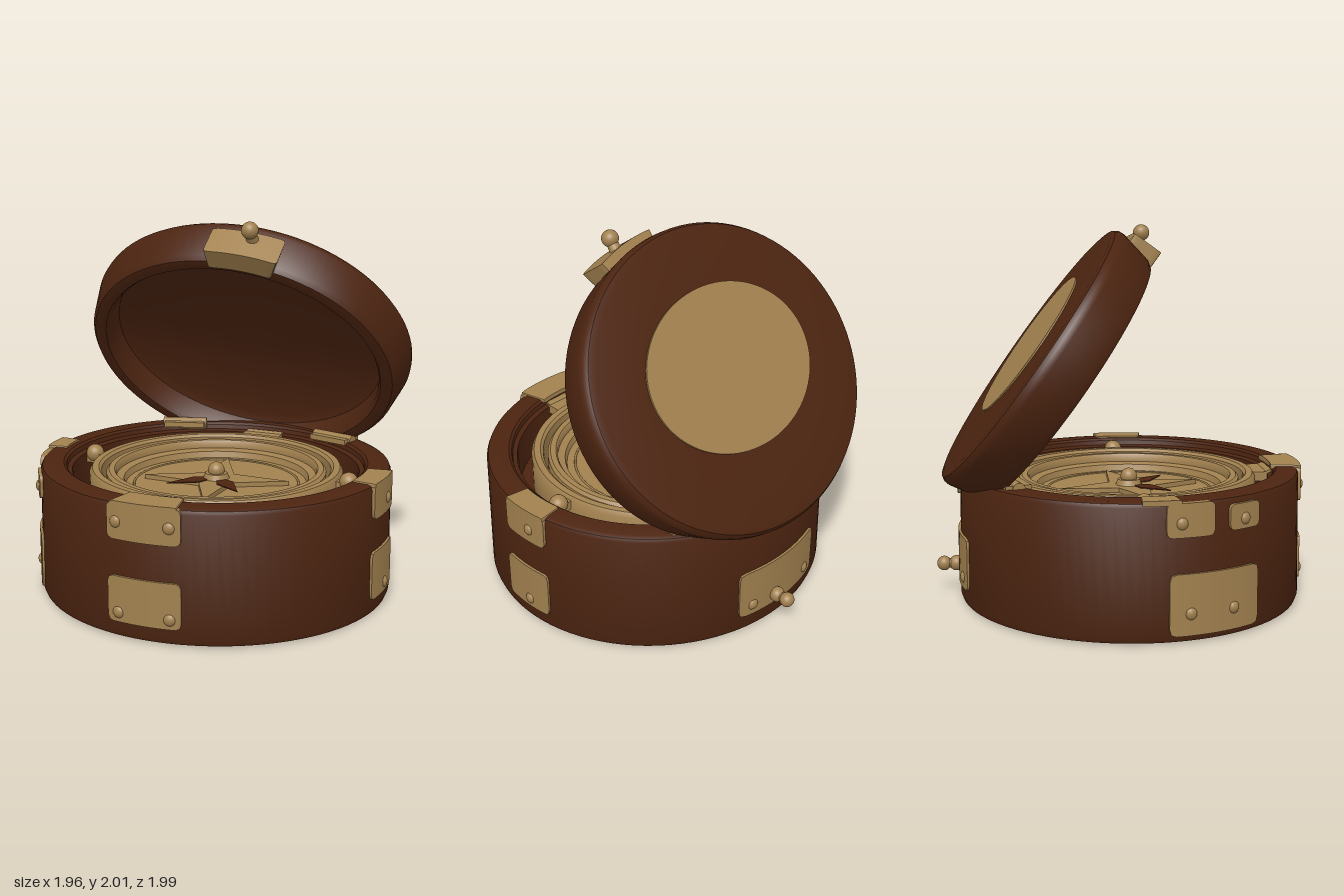
import * as THREE from 'three';
import { toCreasedNormals } from 'three/addons/utils/BufferGeometryUtils.js';

const wood = new THREE.MeshStandardMaterial({ color: 0x4c2410 });
wood.name = 'brown wood';
const brass = new THREE.MeshStandardMaterial({ color: 0xa2814f });
brass.name = 'brass';

const rad = THREE.MathUtils.degToRad;

function add(parent, name, geometry, material, x = 0, y = 0, z = 0) {
  const mesh = new THREE.Mesh(geometry, material);
  mesh.name = name;
  mesh.position.set(x, y, z);
  parent.add(mesh);
  return mesh;
}

// Turned shape; the profile runs so that its right-hand side faces out
function turned(points, segments = 96) {
  const profile = points.map(([x, y]) => new THREE.Vector2(x, y));
  return toCreasedNormals(new THREE.LatheGeometry(profile, segments), 0.6);
}

// Round-cornered plate bent around the y axis; angle 0 is the front
function bentPlate(r0, r1, y0, y1, angle, width, corner = 0.03) {
  const h = y1 - y0;
  const g = new THREE.BoxGeometry(width, h, r1 - r0, 14, 8, 1);
  const p = g.attributes.position;
  for (let i = 0; i < p.count; i++) {
    let x = p.getX(i), y = p.getY(i);
    const dx = Math.abs(x) - (width / 2 - corner);
    const dy = Math.abs(y) - (h / 2 - corner);
    if (dx > 0 && dy > 0 && corner > 0) {
      const k = Math.max(dx, dy) / Math.hypot(dx, dy);
      x = Math.sign(x) * (width / 2 - corner + dx * k);
      y = Math.sign(y) * (h / 2 - corner + dy * k);
    }
    const a = angle + x / r1, r = (r0 + r1) / 2 + p.getZ(i);
    p.setXYZ(i, Math.sin(a) * r, (y0 + y1) / 2 + y, Math.cos(a) * r);
  }
  return toCreasedNormals(g, 0.6);
}

// Ball knob on a short stem, pointing along +z
function knob(name, r, stem) {
  const g = new THREE.Group();
  g.name = name;
  const rod = add(g, 'knobStem', new THREE.CylinderGeometry(r * 0.6, r * 0.75, stem, 20), brass, 0, 0, -stem / 2);
  rod.rotation.x = Math.PI / 2;
  add(g, 'knobBall', new THREE.SphereGeometry(r, 24, 16), brass);
  return g;
}

function makeBox() {
  const box = new THREE.Group();
  box.name = 'box';
  box.position.set(-0.005, 0, 0.055);
  box.scale.z = 0.963;
  add(box, 'boxShell', turned([[0, 0.01], [0.92, 0.01], [0.95, 0.02], [0.96, 0.045], [0.953, 0.69], [0.945, 0.708],
    [0.925, 0.717], [0.83, 0.717], [0.815, 0.705], [0.81, 0.68], [0.785, 0.67], [0.78, 0.46], [0, 0.46]]), wood);

  // Wall plates: name, angle, width, y0, y1, rivets as [sideways, y]
  const plates = [
    ['frontUpperPlate', 0, 0.4, 0.53, 0.72, [[-0.15, 0.62], [0.14, 0.62]]],
    ['frontLowerPlate', 0, 0.4, 0.1, 0.34, [[0.14, 0.15], [-0.14, 0.15]]],
    ['leftUpperPlate', 88, 0.31, 0.535, 0.72, [[0.04, 0.61]]],
    ['leftLowerPlate', 88, 0.33, 0.1, 0.36, [[0.02, 0.15]]],
    ['rightUpperPlate', -78, 0.26, 0.54, 0.71, [[-0.05, 0.61]]],
    ['rightSmallPlate', -59, 0.2, 0.55, 0.68, [[0, 0.6]]],
    ['rightLowerPlate', -69, 0.53, 0.05, 0.36, [[0.1, 0.16], [-0.15, 0.16]]],
    ['backPlate', 180, 0.62, 0.11, 0.39, [[-0.22, 0.17], [0.22, 0.17]]],
    ['backHingePlate', 180, 0.18, 0.59, 0.69, []],
  ];
  for (const [name, deg, width, y0, y1, rivets] of plates) {
    add(box, name, bentPlate(0.93, 0.97, y0, y1, rad(deg), width), brass);
    for (const [u, y] of rivets) {
      const a = rad(deg) + u / 0.97;
      const rivet = add(box, name + 'Rivet', new THREE.SphereGeometry(0.032, 16, 10), brass,
        Math.sin(a) * 0.963, y, Math.cos(a) * 0.963);
      rivet.rotation.y = a;
      rivet.scale.z = 0.7;
    }
  }

  // Flaps folded over the rim
  for (const [name, deg, width, r0] of [['frontFlap', 0, 0.36, 0.8], ['leftFlap', 88, 0.3, 0.84], ['rightFlap', -87, 0.2, 0.86]]) {
    add(box, name, bentPlate(r0, 0.97, 0.7, 0.727, rad(deg), width, 0.008), brass);
  }

  const backKnob = knob('backKnob', 0.04, 0.13);
  backKnob.position.set(0.065, 0.17, -1.055);
  backKnob.rotation.y = Math.PI;
  box.add(backKnob);
  add(box, 'backKnobCollar', new THREE.SphereGeometry(0.042, 20, 14), brass, 0.065, 0.17, -0.985);

  // Hinges on the back rim
  for (const s of [-1, 1]) {
    const hinge = new THREE.Group();
    hinge.name = 'hinge';
    hinge.position.set(s * 0.47, 0.715, -0.68);
    hinge.rotation.y = s * -0.3;
    add(hinge, 'hingeLeaf', new THREE.BoxGeometry(0.24, 0.03, 0.14), brass, 0, 0.005, 0);
    const pin = add(hinge, 'hingeKnuckle', new THREE.CylinderGeometry(0.035, 0.035, 0.26, 20), brass);
    pin.rotation.z = Math.PI / 2;
    box.add(hinge);
  }
  return box;
}

function makeCompass() {
  const compass = new THREE.Group();
  compass.name = 'compass';
  compass.position.set(0, 0, 0.055);
  // Swinging ring and stepped bowl
  add(compass, 'gimbalRing', turned([[0.625, 0.46], [0.68, 0.46], [0.69, 0.48], [0.69, 0.66], [0.675, 0.685],
    [0.64, 0.685], [0.625, 0.67], [0.625, 0.46]]), brass);
  add(compass, 'compassBowl', turned([[0, 0.46], [0.6, 0.46], [0.6, 0.655], [0.585, 0.67], [0.555, 0.67], [0.545, 0.655],
    [0.545, 0.625], [0.505, 0.615], [0.495, 0.58], [0, 0.58]]), brass);
  add(compass, 'dialLine', new THREE.TorusGeometry(0.45, 0.006, 8, 80), brass, 0, 0.581, 0).rotation.x = Math.PI / 2;

  // Raised four-pointed star
  const star = new THREE.Shape();
  for (let i = 0; i < 8; i++) {
    const a = i * Math.PI / 4 + 0.22, r = i % 2 ? 0.12 : 0.4;
    star[i ? 'lineTo' : 'moveTo'](Math.sin(a) * r, Math.cos(a) * r);
  }
  star.closePath();
  add(compass, 'star', new THREE.ExtrudeGeometry(star, { depth: 0.025, bevelEnabled: false }), brass, 0, 0.605, 0)
    .rotation.x = Math.PI / 2;

  // Dark inlays between the star points
  for (const a of [-Math.PI / 4, Math.PI / 4]) {
    const inlay = new THREE.Shape([[0, 0], [0.05, 0.12], [0, 0.29], [-0.05, 0.12]].map(([x, y]) => new THREE.Vector2(x, y)));
    const holder = new THREE.Group();
    holder.name = 'starInlay';
    holder.rotation.y = a;
    add(holder, 'inlayPlate', new THREE.ExtrudeGeometry(inlay, { depth: 0.006, bevelEnabled: false }), wood, 0, 0.61, 0)
      .rotation.x = Math.PI / 2;
    compass.add(holder);
  }
  add(compass, 'hub', new THREE.CylinderGeometry(0.06, 0.08, 0.05, 24), brass, 0, 0.61, 0);
  add(compass, 'hubBall', new THREE.SphereGeometry(0.045, 24, 16), brass, 0, 0.65, 0);

  // Pivots holding the ring
  for (const s of [-1, 1]) {
    add(compass, 'sidePivot', new THREE.SphereGeometry(0.05, 20, 14), brass, s * 0.75, 0.665, -0.01);
    add(compass, 'sidePivotArm', new THREE.BoxGeometry(0.14, 0.05, 0.06), brass, s * 0.725, 0.64, -0.01);
    add(compass, 'pivotBracket', new THREE.BoxGeometry(0.23, 0.05, 0.1), brass, 0, 0.655, s * 0.71);
    add(compass, 'pivotPin', new THREE.CylinderGeometry(0.03, 0.03, 0.22, 16), brass, 0, 0.66, s * 0.765).rotation.z = Math.PI / 2;
  }
  return compass;
}

function makeLid() {
  const lid = new THREE.Group();
  lid.name = 'lid';
  lid.position.set(0, 1.185, -0.283);
  lid.rotation.x = -0.946;
  const oval = new THREE.Group();
  oval.name = 'lidOval';
  oval.scale.z = 0.87;
  lid.add(oval);
  add(oval, 'lidShell', turned([[0, 0.18], [0.74, 0.18], [0.785, 0.15], [0.795, 0.03], [0.81, 0.005], [0.84, 0],
    [0.875, 0.005], [0.895, 0.03], [0.935, 0.21], [0.932, 0.24], [0.915, 0.262], [0.88, 0.27], [0.58, 0.278], [0, 0.283]]), wood);
  // Oval inlay on the outer face
  const medallion = add(lid, 'lidMedallion', new THREE.CylinderGeometry(0.575, 0.575, 0.009, 96), brass, 0, 0.282, 0.045);
  medallion.scale.z = 0.75;
  // Clasp over the rim
  add(oval, 'clasp', bentPlate(0.85, 0.98, -0.02, 0.16, 0.2, 0.4, 0.015), brass);
  const claspKnob = knob('claspKnob', 0.045, 0.08);
  claspKnob.position.set(0.225, 0.11, 0.89);
  lid.add(claspKnob);
  return lid;
}

export function createModel() {
  const model = new THREE.Group();
  model.name = 'boxedCompass';
  model.add(makeBox(), makeCompass(), makeLid());
  return model;
}
